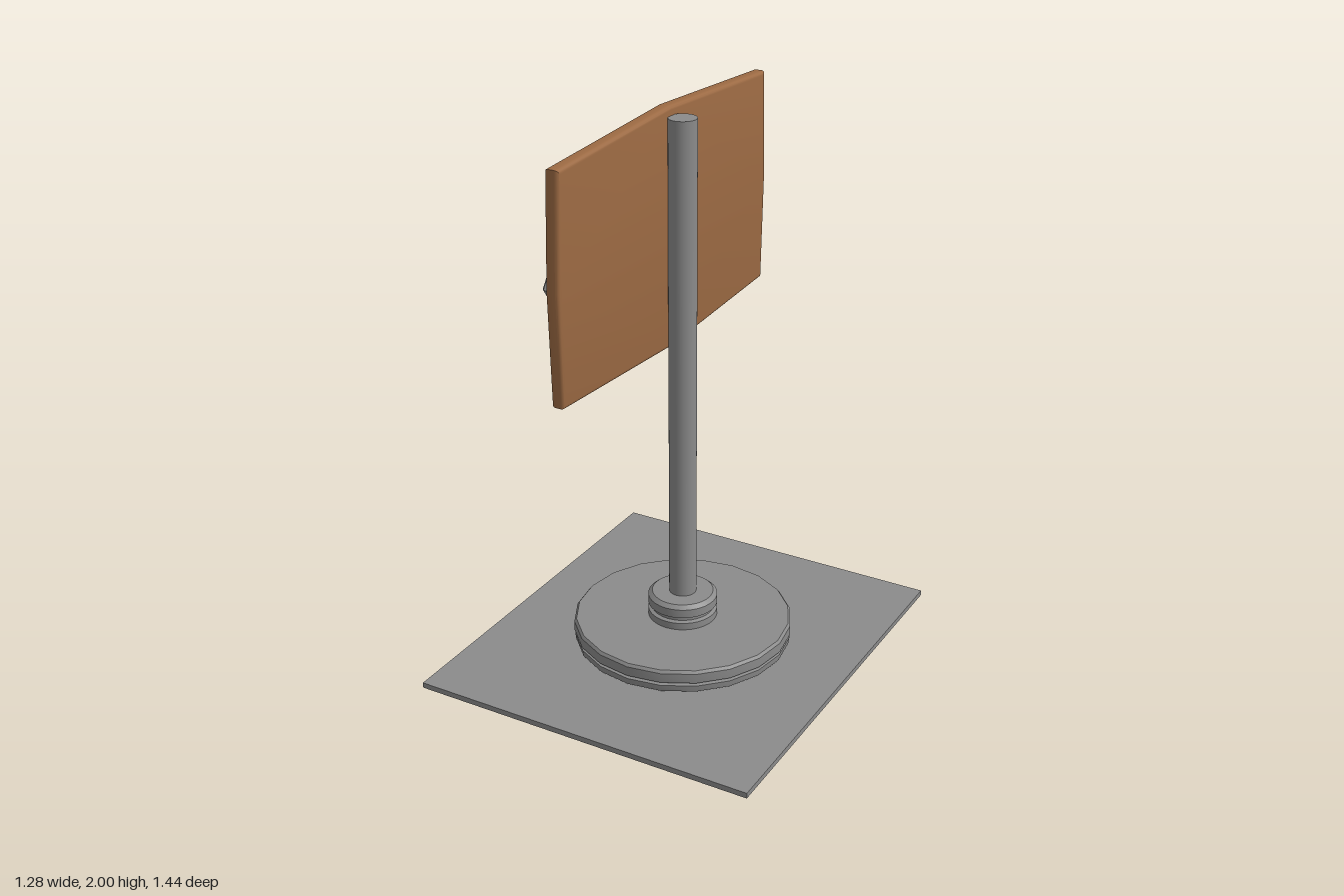
import * as THREE from 'three';
import { toCreasedNormals } from 'three/addons/utils/BufferGeometryUtils.js';

const metal = new THREE.MeshStandardMaterial({ color: 0x8b8b8b });
const wood = new THREE.MeshStandardMaterial({ color: 0x9c6a43 });
const dark = new THREE.MeshStandardMaterial({ color: 0x2a2a2a });
const SIGN_Y = 1.578;

function add(group, name, geometry, material) {
  const mesh = new THREE.Mesh(geometry, material);
  mesh.name = name;
  group.add(mesh);
  return mesh;
}

// Turned part with crisp edges between its profile steps
function turned(profile, sides) {
  const points = profile.map(([r, y]) => new THREE.Vector2(r, y));
  return toCreasedNormals(new THREE.LatheGeometry(points, sides), 0.5);
}

// Stretched octagon with corners on both axes
function octagon(rx, ry) {
  return Array.from({ length: 8 }, (_, i) => {
    const a = (i * Math.PI) / 4;
    return new THREE.Vector2(rx * Math.cos(a), ry * Math.sin(a));
  });
}

// Plate in the z/y plane with softened edges, reaching from x = inner out to x = outer (towards -x)
function plate(shape, inner, outer, bevel, bevelSegments = 1) {
  const geometry = new THREE.ExtrudeGeometry(shape, {
    depth: inner - outer - 2 * bevel,
    bevelEnabled: bevel > 0,
    bevelThickness: bevel,
    bevelSize: bevel,
    bevelOffset: -bevel,
    bevelSegments,
  });
  geometry.translate(0, 0, bevel);
  geometry.rotateY(-Math.PI / 2);
  geometry.translate(inner, SIGN_Y, 0);
  return toCreasedNormals(geometry, 0.45);
}

export function createModel() {
  const model = new THREE.Group();
  model.name = 'signStand';

  // Ground slab
  const slab = add(model, 'groundSlab', new THREE.BoxGeometry(1.28, 0.02, 1.44), metal);
  slab.position.y = 0.01;

  // Grooved round base, floating just above the slab
  add(model, 'baseDisc', turned([
    [0, 0.033], [0.39, 0.033], [0.393, 0.057], [0.38, 0.06], [0.38, 0.067],
    [0.395, 0.07], [0.395, 0.106], [0.387, 0.116], [0, 0.12],
  ], 20), metal);

  // Collar around the foot of the pole
  add(model, 'collar', turned([
    [0, 0.115], [0.125, 0.115], [0.125, 0.145], [0.112, 0.15], [0.112, 0.163],
    [0.125, 0.168], [0.125, 0.2], [0.11, 0.213], [0, 0.213],
  ], 32), metal);

  // Pole
  const pole = add(model, 'pole', new THREE.CylinderGeometry(0.049, 0.049, 1.767, 32), metal);
  pole.position.y = 0.2 + 1.767 / 2;

  // Wooden board with slightly bowed edges
  const outline = [
    [0.685, 0], [0.67, 0.387], [0, 0.422], [-0.67, 0.387],
    [-0.685, 0], [-0.67, -0.387], [0, -0.422], [0.67, -0.387],
  ].map(([x, y]) => new THREE.Vector2(x, y));
  add(model, 'board', plate(new THREE.Shape(outline), -0.043, -0.094, 0.014, 4), wood);

  // Raised octagonal frame
  const ring = new THREE.Shape(octagon(0.67, 0.388));
  ring.holes.push(new THREE.Path(octagon(0.625, 0.352).reverse()));
  add(model, 'frame', plate(ring, -0.08, -0.117, 0.008), metal);

  // Dark panel recessed inside the frame
  add(model, 'panel', plate(new THREE.Shape(octagon(0.64, 0.364)), -0.08, -0.105, 0), dark);

  return model;
}
